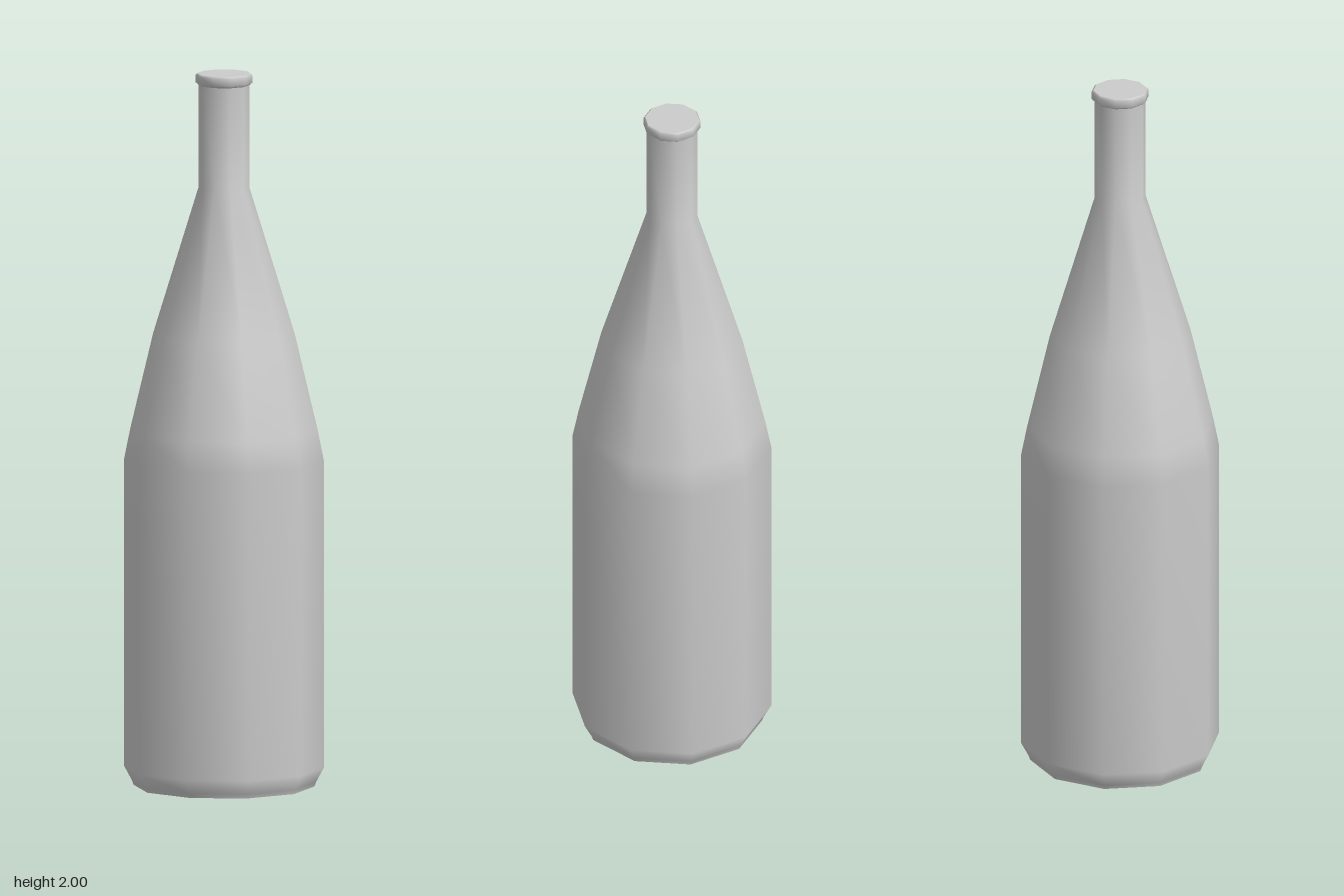
import * as THREE from 'three';

const SIDES = 10;

// Ten-sided turned part; a repeated point makes a sharp edge
function turned(name, profile) {
  const points = profile.map(([r, y]) => new THREE.Vector2(r, y));
  const mesh = new THREE.Mesh(
    new THREE.LatheGeometry(points, SIDES, Math.PI / 2),
    new THREE.MeshStandardMaterial({ color: 0xcccccc })
  );
  mesh.name = name;
  return mesh;
}

export function createModel() {
  const group = new THREE.Group();
  group.name = 'bottle';

  // Base, straight body, tapering shoulder and neck
  group.add(turned('body', [
    [0, 0], [0.252, 0], [0.252, 0], [0.256, 0.012], [0.278, 0.053],
    [0.278, 0.915], [0.261, 1.0], [0.197, 1.27],
    [0.071, 1.68], [0.071, 1.975],
  ]));

  // Rim with a closed, flat top
  group.add(turned('lip', [
    [0.071, 1.968], [0.08, 1.975], [0.08, 1.995],
    [0.075, 2], [0.075, 2], [0, 2],
  ]));

  return group;
}
